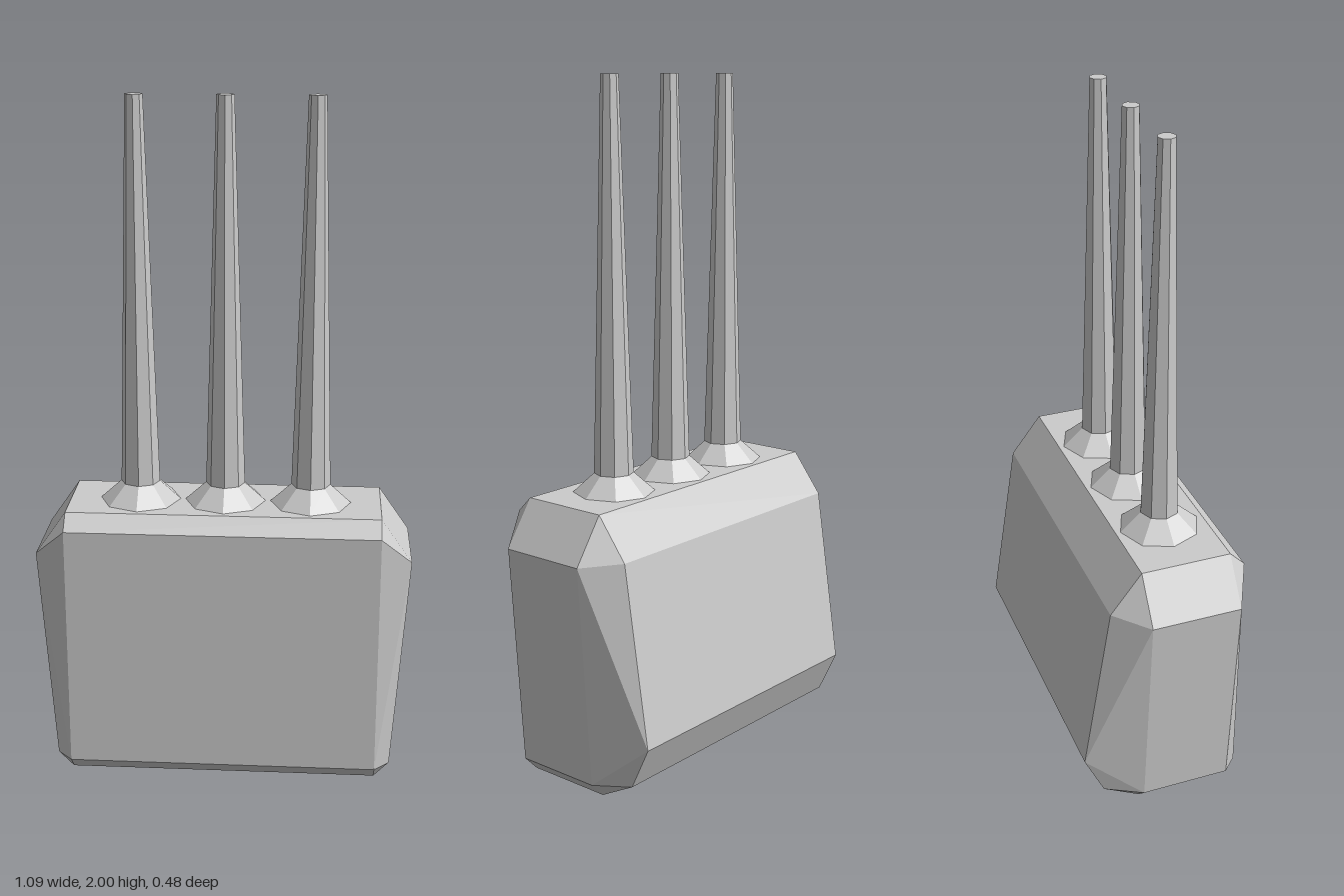
import * as THREE from 'three';
import { ConvexGeometry } from 'three/addons/geometries/ConvexGeometry.js';

export function createModel() {
  const group = new THREE.Group();
  const material = new THREE.MeshStandardMaterial({ color: 0xcccccc, flatShading: true });

  // Chamfered housing: corner points mirrored left and right
  const corners = [
    [0.455, 0.83, 0.197], [0.455, 0.83, -0.07], // top
    [0.455, 0, 0.197], [0.455, 0, -0.07], // bottom
    [0.455, 0.785, 0.242], [0.455, 0.047, 0.242], // front
    [0.455, 0.71, -0.162], [0.455, 0.187, -0.242], [0.455, 0.06, -0.182], // back
    [0.545, 0.7, 0.197], [0.545, 0.7, -0.07], // upper side
    [0.5, 0.047, 0.197], [0.5, 0.047, -0.07], // lower side
  ];
  const points = corners.flatMap(([x, y, z]) => [
    new THREE.Vector3(x, y, z), new THREE.Vector3(-x, y, z),
  ]);
  const housing = new THREE.Mesh(new ConvexGeometry(points), material);
  housing.name = 'housing';
  group.add(housing);

  // Three tapered octagonal antennas on flared collars
  const collarGeometry = new THREE.CylinderGeometry(0.057, 0.118, 0.055, 8);
  const rodGeometry = new THREE.CylinderGeometry(0.025, 0.057, 1.115, 8);
  ['right', 'middle', 'left'].forEach((side, i) => {
    const antenna = new THREE.Group();
    antenna.name = side + 'Antenna';
    const collar = new THREE.Mesh(collarGeometry, material);
    collar.name = 'collar';
    collar.position.y = 0.0275;
    const rod = new THREE.Mesh(rodGeometry, material);
    rod.name = 'rod';
    rod.position.y = 0.055 + 1.115 / 2;
    antenna.add(collar, rod);
    antenna.position.set((i - 1) * 0.25, 0.83, 0.063);
    group.add(antenna);
  });

  return group;
}
